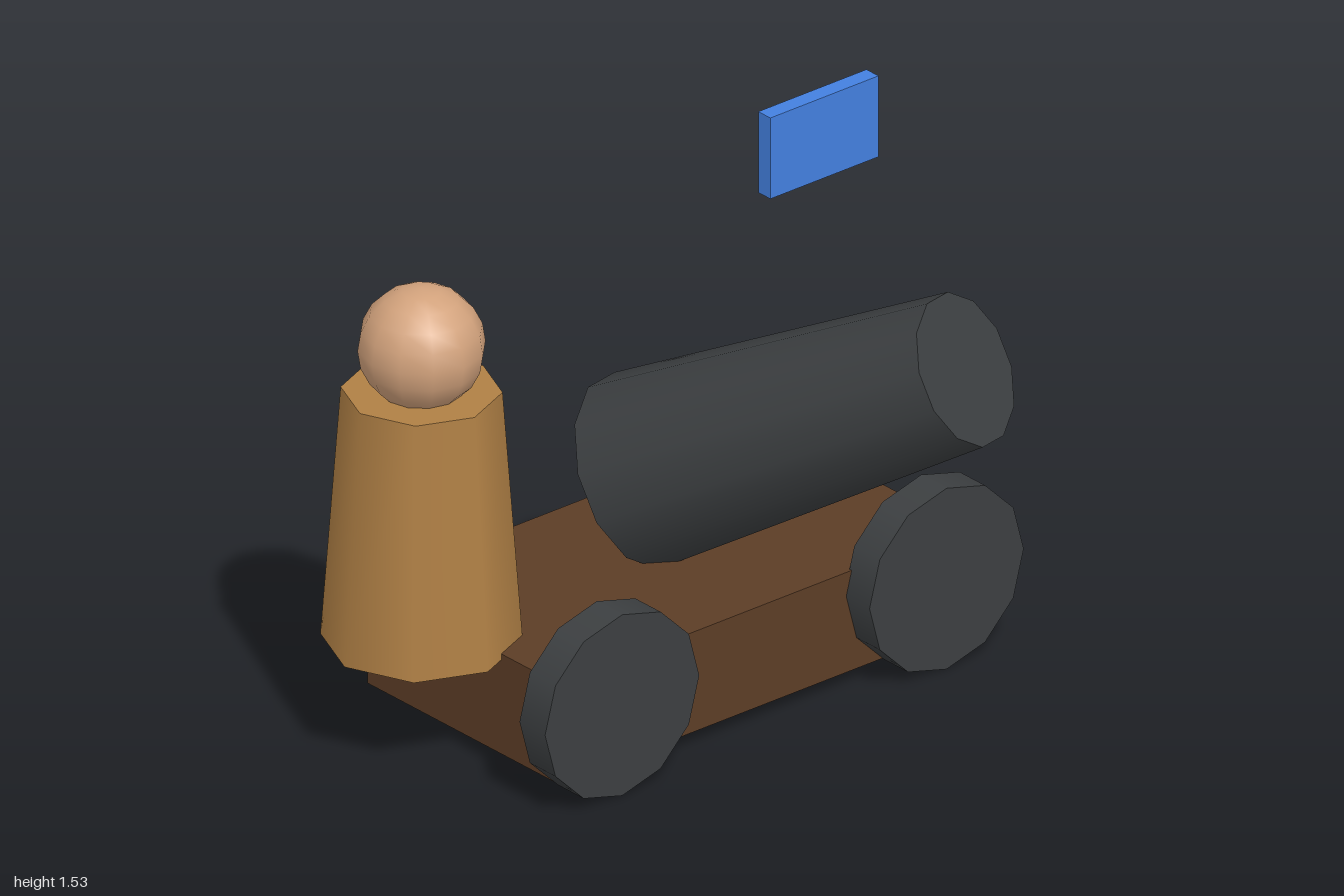
import * as THREE from 'three';

export function createModel() {
  const model = new THREE.Group();
  const wood = new THREE.MeshStandardMaterial({ color: 0x5c3d26 });
  const iron = new THREE.MeshStandardMaterial({ color: 0x3c3f41 });
  const coat = new THREE.MeshStandardMaterial({ color: 0xb08045 });
  const skin = new THREE.MeshStandardMaterial({ color: 0xd2a27c });
  const blue = new THREE.MeshStandardMaterial({ color: 0x4480e0 });

  const add = (name, geometry, material, x, y, z) => {
    const mesh = new THREE.Mesh(geometry, material);
    mesh.name = name;
    mesh.position.set(x, y, z);
    model.add(mesh);
    return mesh;
  };

  // Carriage block
  add('carriage', new THREE.BoxGeometry(1.495, 0.315, 0.825), wood, 0.112, 0.203, -0.258);

  // Two wheels on the front face
  for (const [name, x] of [['rightWheel', -0.488], ['leftWheel', 0.712]]) {
    const wheel = add(name, new THREE.CylinderGeometry(0.285, 0.285, 0.11, 12), iron, x, 0.285, 0.2);
    wheel.rotation.x = Math.PI / 2;
  }

  // Tapered barrel, raised and swung to the side
  const breech = new THREE.Vector3(0.144, 0.553, -0.42);
  const muzzle = new THREE.Vector3(0.541, 1.109, 0.535);
  const axis = muzzle.clone().sub(breech);
  const centre = breech.clone().add(muzzle).multiplyScalar(0.5);
  const barrel = add('barrel', new THREE.CylinderGeometry(0.225, 0.285, axis.length(), 12), iron, ...centre);
  barrel.quaternion.setFromUnitVectors(new THREE.Vector3(0, 1, 0), axis.normalize());

  // Standing figure: eight-sided body and round head
  add('figureBody', new THREE.CylinderGeometry(0.228, 0.285, 0.78, 8), coat, -0.715, 0.733, -0.345);
  add('figureHead', new THREE.SphereGeometry(0.183, 12, 10), skin, -0.717, 1.262, -0.343);

  // Floating flag panel
  add('flag', new THREE.BoxGeometry(0.4, 0.255, 0.052), blue, 0.8, 1.403, -0.4);

  return model;
}
